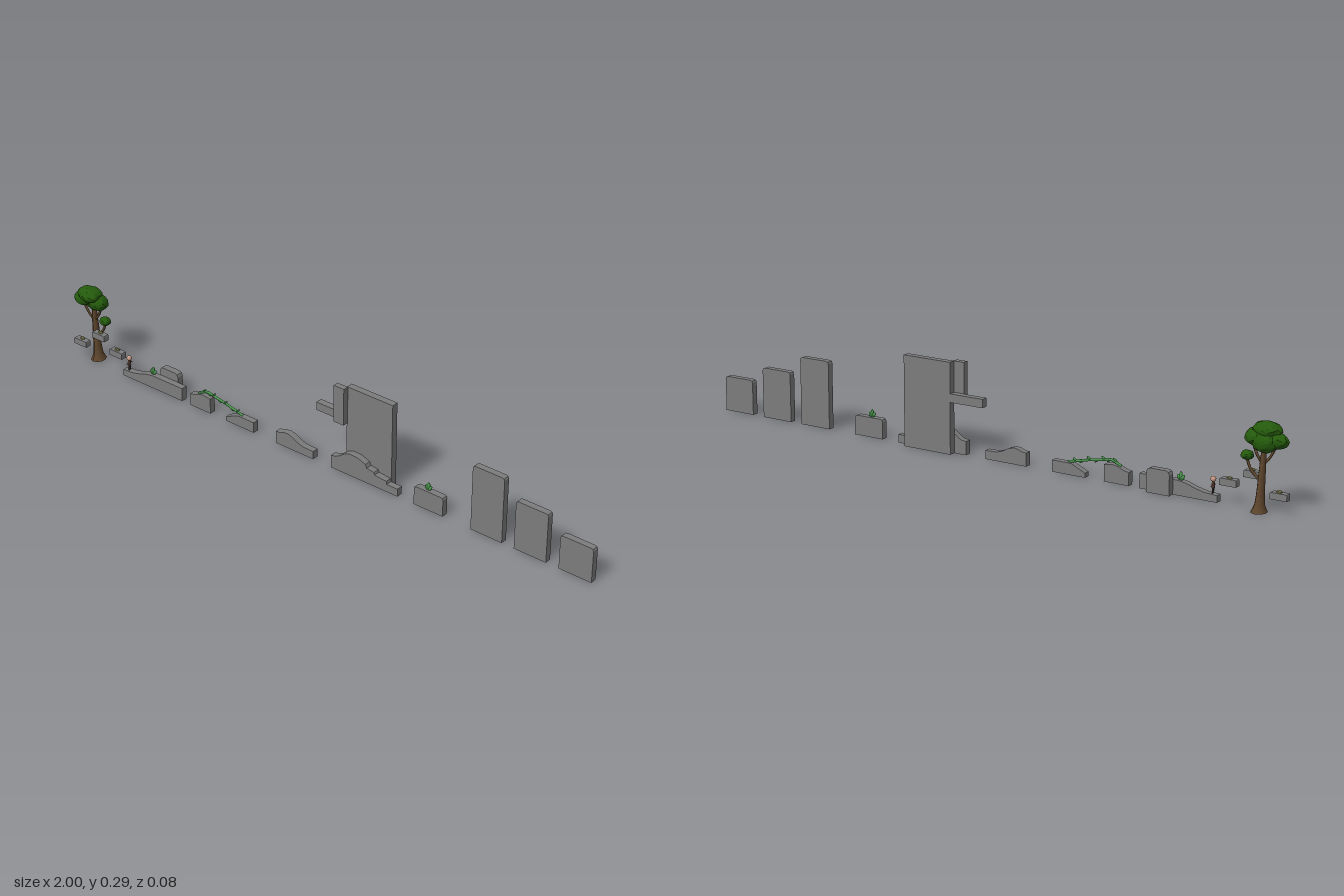
import * as THREE from 'three';

const mat = (name, color, opts = {}) => {
  const m = new THREE.MeshStandardMaterial({ color, ...opts });
  m.name = name;
  return m;
};

export function createModel() {
  const root = new THREE.Group();
  root.name = 'platformLevel';
  const stone = mat('stone grey', 0x7c7c7c, { flatShading: true });
  const leaf = mat('dark leaf green', 0x245a0c, { flatShading: true });
  const bark = mat('bark brown', 0x5e452c);
  const plant = mat('plant green', 0x4c9a50);
  const skin = mat('skin pink', 0xc89a86);
  const cloth = mat('dark cloth', 0x4a3530);
  const moss = mat('dry moss', 0x7c7a4c, { flatShading: true });

  const add = (name, geo, material, x = 0, y = 0, z = 0, parent = root) => {
    const m = new THREE.Mesh(geo, material);
    m.name = name;
    m.position.set(x, y, z);
    parent.add(m);
    return m;
  };

  // Slabs are outlines extruded in one of two depth layers
  const FRONT = [-0.003, 0.018], REAR = [-0.025, -0.003];
  const slab = (name, pts, layer = FRONT) => {
    const shape = new THREE.Shape(pts.map(p => new THREE.Vector2(...p)));
    const geo = new THREE.ExtrudeGeometry(shape, { depth: layer[1] - layer[0], bevelEnabled: false });
    return add(name, geo, stone, 0, 0, layer[0]);
  };
  const block = (name, x0, x1, y0, y1, layer = FRONT, c = 0) =>
    slab(name, c
      ? [[x0, y0], [x1, y0], [x1, y1 - c], [x1 - c * 0.3, y1 - c * 0.3], [x1 - c, y1],
        [x0 + c, y1], [x0 + c * 0.3, y1 - c * 0.3], [x0, y1 - c]]
      : [[x0, y0], [x1, y0], [x1, y1], [x0, y1]], layer);

  // Small floating ledges around the tree
  [[-0.998, -0.945, 0.04, 0.06], [-0.915, -0.862, 0.09, 0.111], [-0.84, -0.787, 0.054, 0.075]]
    .forEach(([a, b, c, d]) => block('floatingLedge', a, b, c, d, FRONT, 0.004));
  [[-0.97, 0.062], [-0.886, 0.113], [-0.815, 0.076]].forEach(([x, y]) =>
    add('mossClump', new THREE.IcosahedronGeometry(0.008, 0), moss, x, y, 0.007).scale.set(1.3, 0.7, 0.8));

  // Ground pieces from left to right
  slab('startRamp', [[-0.782, 0], [-0.53, 0], [-0.53, 0.045], [-0.655, 0.045], [-0.68, 0.041],
    [-0.71, 0.031], [-0.74, 0.024], [-0.782, 0.021]]);
  block('rearBoulder', -0.64, -0.565, 0, 0.074, REAR, 0.012);
  slab('bridgeStart', [[-0.495, 0], [-0.412, 0], [-0.412, 0.052], [-0.44, 0.056], [-0.46, 0.052],
    [-0.48, 0.043], [-0.495, 0.041]]);
  slab('bridgeEnd', [[-0.348, 0], [-0.235, 0], [-0.235, 0.036], [-0.3, 0.036], [-0.32, 0.027], [-0.348, 0.014]]);
  slab('smallHill', [[-0.145, 0], [0, 0], [0, 0.027], [-0.04, 0.028], [-0.06, 0.034], [-0.08, 0.045],
    [-0.1, 0.051], [-0.115, 0.049], [-0.13, 0.043], [-0.145, 0.042]]);
  slab('bigHill', [[0.07, 0], [0.32, 0], [0.32, 0.026], [0.28, 0.026], [0.278, 0.036], [0.235, 0.04],
    [0.232, 0.048], [0.205, 0.052], [0.2, 0.063], [0.17, 0.074], [0.14, 0.075], [0.12, 0.068],
    [0.1, 0.052], [0.085, 0.045], [0.07, 0.043]]);

  // Tower wall with its ledge and upper block
  block('towerWall', 0.112, 0.281, 0, 0.287, REAR);
  block('towerLedge', -0.004, 0.112, 0.163, 0.19, REAR);
  block('towerUpperBlock', 0.077, 0.115, 0.163, 0.287, [-0.003, 0.016]);

  // Pillars
  [[0.38, 0.485, 0.063], [0.585, 0.695, 0.218], [0.737, 0.847, 0.162], [0.89, 1.0, 0.113]]
    .forEach(([a, b, h]) => block('pillar', a, b, 0, h, FRONT, 0.008));

  // Sprouts
  [[-0.66, 0.044], [0.425, 0.062]].forEach(([x, y]) => {
    for (const s of [-1, 0, 1]) {
      const leafBlade = add('sproutLeaf', new THREE.SphereGeometry(0.013, 8, 6), plant, x + s * 0.006, y + 0.012 - Math.abs(s) * 0.004, 0.007);
      leafBlade.scale.set(0.4, s ? 0.7 : 1.1, 0.4);
      leafBlade.rotation.z = -s * 0.5;
    }
  });

  // Vine bridge with leaves
  const vine = new THREE.CatmullRomCurve3([[-0.465, 0.052], [-0.43, 0.066], [-0.4, 0.061], [-0.36, 0.054],
    [-0.32, 0.045], [-0.285, 0.037]].map(p => new THREE.Vector3(p[0], p[1], 0.008)));
  add('vine', new THREE.TubeGeometry(vine, 24, 0.004, 6), plant);
  for (let i = 1; i < 8; i++) {
    const p = vine.getPoint(i / 8);
    const l = add('vineLeaf', new THREE.SphereGeometry(0.008, 6, 4), plant, p.x, p.y + (i % 2 ? 0.005 : -0.004), p.z);
    l.scale.set(1.1, 0.35, 0.7);
    l.rotation.z = i % 2 ? 0.6 : -0.6;
  }

  // Tree
  const tree = new THREE.Group();
  tree.name = 'tree';
  tree.position.set(-0.918, 0, -0.01);
  root.add(tree);
  const profile = [[0.028, 0], [0.024, 0.006], [0.017, 0.022], [0.014, 0.05], [0.012, 0.1], [0.01, 0.15], [0.007, 0.2]];
  const trunk = new THREE.LatheGeometry(profile.map(p => new THREE.Vector2(...p)), 10);
  const pos = trunk.attributes.position;
  for (let i = 0; i < pos.count; i++) pos.setX(i, pos.getX(i) * 0.85 - pos.getY(i) * 0.05);
  trunk.computeVertexNormals();
  add('trunk', trunk, bark, 0, 0, 0, tree);
  const branch = pts => add('branch', new THREE.TubeGeometry(
    new THREE.CatmullRomCurve3(pts.map(p => new THREE.Vector3(...p))), 8, 0.004, 6), bark, 0, 0, 0, tree);
  branch([[-0.004, 0.09, 0], [0.02, 0.105, 0.004], [0.036, 0.122, 0.006], [0.048, 0.152, 0.008]]);
  branch([[-0.006, 0.135, 0], [-0.025, 0.16, 0.006], [-0.04, 0.19, 0.01]]);
  branch([[-0.006, 0.14, 0], [0.012, 0.165, 0], [0.024, 0.195, 0]]);

  // Lumpy crown: x, y, z, then radii
  [[-0.012, 0.235, 0.012, 0.046, 0.027, 0.034], [-0.043, 0.21, 0.008, 0.038, 0.024, 0.026],
    [0.018, 0.214, 0.006, 0.036, 0.028, 0.03], [-0.012, 0.205, -0.004, 0.042, 0.032, 0.024],
    [0.005, 0.238, 0.026, 0.03, 0.018, 0.024], [0.046, 0.156, 0.008, 0.02, 0.015, 0.018]]
    .forEach(([x, y, z, rx, ry, rz], k) => {
      const g = new THREE.IcosahedronGeometry(1, 2);
      const p = g.attributes.position, v = new THREE.Vector3();
      for (let i = 0; i < p.count; i++) {
        v.fromBufferAttribute(p, i);
        v.multiplyScalar(0.96 + 0.07 * Math.sin(5 * v.x + 4 * v.y + k) * Math.cos(5 * v.z - k));
        p.setXYZ(i, v.x, v.y, v.z);
      }
      g.computeVertexNormals();
      add('foliage', g, leaf, x, y, z, tree).scale.set(rx, ry, rz);
    });

  // Small figure on the ramp
  const figure = new THREE.Group();
  figure.name = 'figure';
  figure.position.set(-0.763, 0.022, 0.008);
  root.add(figure);
  add('head', new THREE.SphereGeometry(0.0085, 10, 8), skin, 0, 0.043, 0, figure);
  add('body', new THREE.CylinderGeometry(0.004, 0.0055, 0.018, 8), cloth, 0, 0.026, 0, figure);
  for (const s of [-1, 1]) {
    add('leg', new THREE.CylinderGeometry(0.002, 0.002, 0.018, 6), cloth, 0, 0.009, s * 0.003, figure);
    add('arm', new THREE.CylinderGeometry(0.0015, 0.0015, 0.014, 6), skin, 0, 0.028, s * 0.008, figure).rotation.x = -s * 0.7;
  }
  return root;
}
